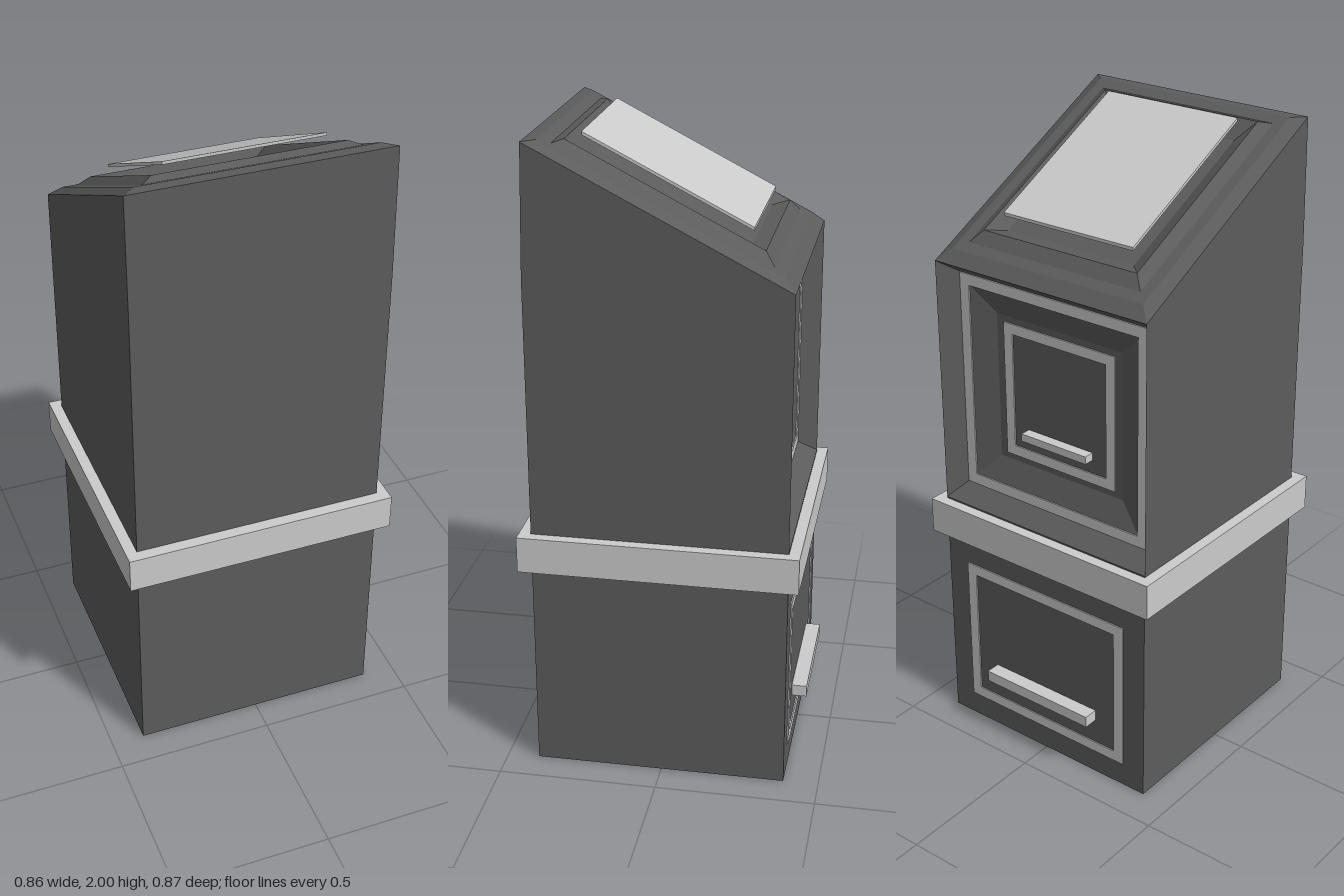
import * as THREE from 'three';

const dark = new THREE.MeshStandardMaterial({ color: 0x5c5c5c, flatShading: true });
const grey = new THREE.MeshStandardMaterial({ color: 0xcccccc, flatShading: true });

const W = 0.395, D = 0.39;                        // half width, half depth
const slope = z => 1.8 + z * 0.4 / 0.78;          // height of the sloping top

// Flat convex polygons, corners counter-clockwise from outside
function polygons(name, list, material) {
  const pos = [];
  for (const p of list)
    for (let i = 1; i < p.length - 1; i++) pos.push(...p[0], ...p[i], ...p[i + 1]);
  const g = new THREE.BufferGeometry();
  g.setAttribute('position', new THREE.Float32BufferAttribute(pos, 3));
  g.computeVertexNormals();
  const m = new THREE.Mesh(g, material);
  m.name = name;
  return m;
}

// Strips between successive four-cornered rings, closed by the last ring
function nested(rings) {
  const out = [];
  for (let r = 0; r < rings.length - 1; r++)
    for (let i = 0; i < 4; i++) {
      const j = (i + 1) % 4, a = rings[r], b = rings[r + 1];
      out.push([a[i], a[j], b[j], b[i]]);
    }
  out.push(rings[rings.length - 1]);
  return out;
}

const topRing = (x, z, lift) =>
  [[-x, z], [x, z], [x, -z], [-x, -z]].map(([px, pz]) => [px, slope(pz) + lift, pz]);
const backRing = (x, y, depth) =>
  [[x, -y], [-x, -y], [-x, y], [x, y]].map(([px, py]) => [px, 1.2 + py, -D + depth]);

function box(name, w, h, d, x, y, z, material) {
  const m = new THREE.Mesh(new THREE.BoxGeometry(w, h, d), material);
  m.position.set(x, y, z);
  m.name = name;
  return m;
}

// Thin rectangular trim facing the back, z is its inner plane
function trim(name, x, h, y, z, width) {
  const rect = (Type, a, b) => new Type([[-a, -b], [a, -b], [a, b], [-a, b]].map(p => new THREE.Vector2(...p)));
  const s = rect(THREE.Shape, x, h);
  s.holes.push(rect(THREE.Path, x - width, h - width));
  const m = new THREE.Mesh(new THREE.ExtrudeGeometry(s, { depth: 0.004, bevelEnabled: false }), grey);
  m.rotation.y = Math.PI;
  m.position.set(0, y, z);
  m.name = name;
  return m;
}

export function createModel() {
  const model = new THREE.Group();
  model.name = 'kiosk';

  // Lower cabinet and the band around the middle
  model.add(box('lowerCabinet', 2 * W, 0.8, 0.79, 0, 0.4, 0.005, dark));
  model.add(box('middleBand', 0.86, 0.115, 0.862, 0, 0.7375, 0.006, grey));

  // Upper cabinet: two sides and a slightly leaning front
  const profile = [[-D, 0.8], [0.4, 0.8], [0.4, 1.6], [D, 2], [-D, 1.6]];
  const side = x => profile.map(([z, y]) => [x, y, z]);
  const l = side(W), r = side(-W);
  model.add(polygons('upperCabinet', [
    [...l].reverse(), r,
    [r[1], l[1], l[2], r[2]],
    [r[2], l[2], l[3], r[3]],
  ], dark));

  // Sloping top with a stepped bezel and a raised screen
  model.add(polygons('screenBezel', nested([
    topRing(W, D, 0), topRing(0.355, 0.353, 0.018), topRing(0.32, 0.32, 0.018),
    topRing(0.285, 0.29, 0.04), topRing(0.235, 0.24, 0.01),
  ]), dark));
  model.add(polygons('screen', [
    ...nested([topRing(0.24, 0.25, 0.063), topRing(0.24, 0.25, 0.073)]),
    topRing(0.24, 0.25, 0.063).reverse(),
  ], grey));

  // Recessed bay in the upper back
  model.add(polygons('backRecess', nested([
    backRing(W, 0.4, 0), backRing(0.355, 0.355, 0.065), backRing(0.32, 0.32, 0.065),
    backRing(0.24, 0.24, 0.095), backRing(0.21, 0.21, 0.095),
  ]), dark));
  model.add(trim('outerRecessTrim', 0.355, 0.355, 1.2, -D + 0.065, 0.035));
  model.add(trim('innerRecessTrim', 0.212, 0.22, 1.2, -D + 0.095, 0.033));
  model.add(box('upperHandle', 0.25, 0.025, 0.035, 0, 1.07, -D + 0.078, grey));

  // Drawer in the lower back
  model.add(trim('drawerTrim', 0.315, 0.253, 0.333, -D, 0.035));
  model.add(box('drawerHandle', 0.41, 0.037, 0.05, 0, 0.217, -0.412, grey));

  return model;
}
